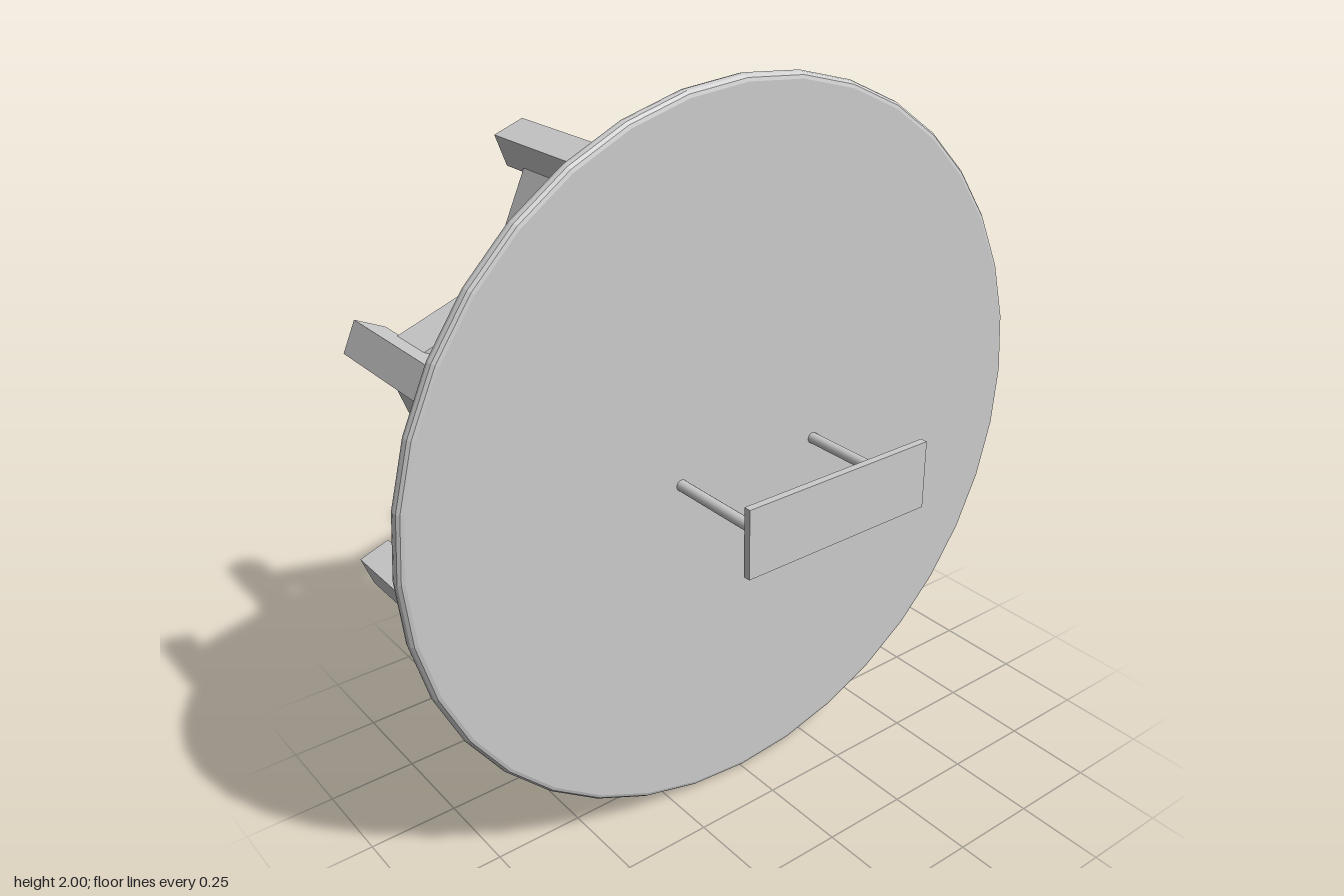
import * as THREE from 'three';

export function createModel() {
  const model = new THREE.Group();
  const mat = new THREE.MeshStandardMaterial({ color: 0xcccccc, flatShading: true });
  const smooth = new THREE.MeshStandardMaterial({ color: 0xcccccc });

  const add = (parent, name, geometry, x, y, z, material = mat) => {
    const mesh = new THREE.Mesh(geometry, material);
    mesh.name = name;
    mesh.position.set(x, y, z);
    parent.add(mesh);
    return mesh;
  };

  // Round top standing on edge, with a softly rounded rim
  const half = 0.021, rim = 0.018;
  const profile = [new THREE.Vector2(0, -half)];
  for (let i = 0; i <= 6; i++) {
    const a = -Math.PI / 2 + (i / 6) * Math.PI;
    profile.push(new THREE.Vector2(1 - rim + rim * Math.cos(a), half * Math.sin(a)));
  }
  profile.push(new THREE.Vector2(0, half));
  add(model, 'roundTop', new THREE.LatheGeometry(profile, 36).rotateX(Math.PI / 2), 0, 1, 0.094);

  // Eight legs and the eight-pointed star of braces joining every second leg
  const base = new THREE.Group();
  base.name = 'base';
  base.position.set(-0.01, 1, 0);
  model.add(base);
  const legRadius = 0.824;
  const braceRadius = legRadius * Math.SQRT1_2;
  const legGeometry = new THREE.BoxGeometry(0.089, 0.089, 0.54);
  const braceGeometry = new THREE.BoxGeometry(0.02, 1.06, 0.138);
  for (let i = 0; i < 8; i++) {
    const a = THREE.MathUtils.degToRad(20 + 45 * i);
    const c = Math.cos(a), s = Math.sin(a);
    add(base, 'leg', legGeometry, legRadius * c, legRadius * s, -0.195).rotation.z = a;
    add(base, 'brace', braceGeometry, braceRadius * c, braceRadius * s, -0.306).rotation.z = a;
  }

  // Small plate held off the front by two rods
  const handle = new THREE.Group();
  handle.name = 'handle';
  model.add(handle);
  add(handle, 'handlePlate', new THREE.BoxGeometry(0.582, 0.188, 0.02), 0.014, 1.004, 0.455);
  const rodGeometry = new THREE.CylinderGeometry(0.0155, 0.0155, 0.345, 16).rotateX(Math.PI / 2);
  for (const x of [-0.21, 0.235]) add(handle, 'handleRod', rodGeometry, x, 0.998, 0.2775, smooth);

  return model;
}
